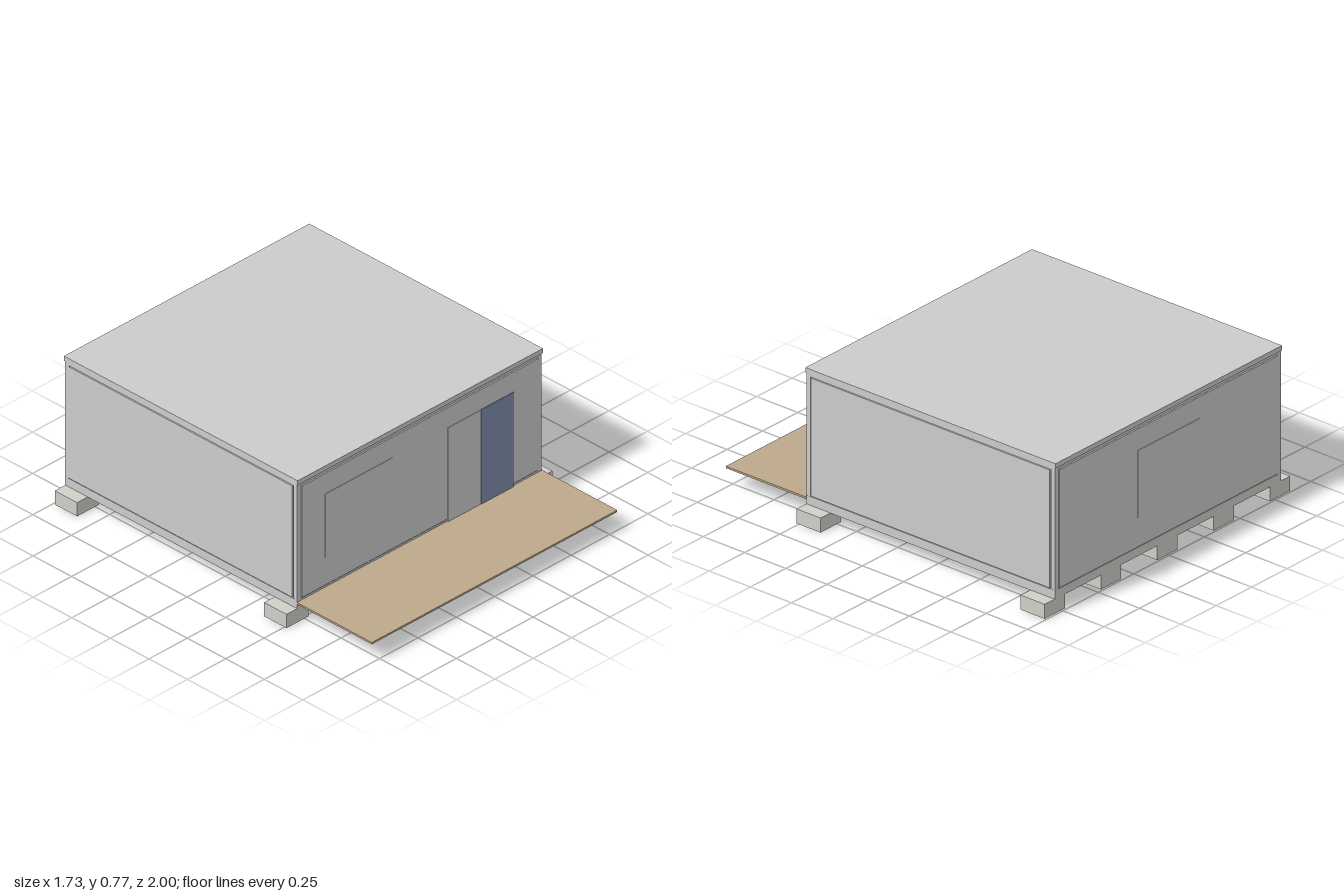
import * as THREE from 'three';

const material = (color) => new THREE.MeshStandardMaterial({ color });

export function createModel() {
  const model = new THREE.Group();
  model.name = 'modularCabin';
  const grey = material(0xcccccc);
  const concrete = material(0xd0cfc8);
  const timber = material(0xbda88b);
  const glass = material(0x7f8cab);

  // Box given by its lower and upper limits on each axis
  function box(name, [x0, x1], [y0, y1], [z0, z1], mat = grey) {
    const mesh = new THREE.Mesh(new THREE.BoxGeometry(x1 - x0, y1 - y0, z1 - z0), mat);
    mesh.position.set((x0 + x1) / 2, (y0 + y1) / 2, (z0 + z1) / 2);
    mesh.name = name;
    model.add(mesh);
    return mesh;
  }

  const front = 0.513, back = -0.993, side = 0.797;

  // Foundation blocks under the front and back edges
  for (const x of [-0.795, -0.398, 0, 0.398, 0.795]) {
    box('frontFooting', [x - 0.072, x + 0.072], [0, 0.075], [0.368, 0.513], concrete);
    box('backFooting', [x - 0.072, x + 0.072], [0, 0.075], [-0.99, -0.845], concrete);
  }

  // Floor slab in two halves and the roof slab
  box('floorLeft', [0, side], [0.075, 0.11], [back, front], concrete);
  box('floorRight', [-side, 0], [0.075, 0.11], [back, front], concrete);
  box('roof', [-0.8, 0.8], [0.75, 0.775], [-0.998, 0.518]);

  // Corner posts, with sills and head beams between them
  for (const s of [-1, 1]) {
    const span = (a, b) => (s > 0 ? [a, b] : [-b, -a]);
    box('frontPost', span(0.772, side), [0.075, 0.75], [front - 0.025, front]);
    box('backPost', span(0.772, side), [0.075, 0.75], [back, back + 0.025]);
    box('sideSill', span(0.77, side + 0.001), [0.074, 0.12], [back, front]);
    box('sideHead', span(0.77, side), [0.735, 0.75], [back, front]);
    // Side cladding standing slightly proud of a recessed backing
    box('sideBacking', span(0.765, 0.792), [0.11, 0.75], [back + 0.01, front - 0.01]);
    box('sidePanel', span(0.785, 0.801), [0.125, 0.732], [back + 0.03, front - 0.03]);
  }
  for (const [name, z, s] of [['front', front, 1], ['back', back, -1]]) {
    const depth = (a, b) => (s > 0 ? [z + a, z + b] : [z - b, z - a]);
    box(name + 'Sill', [-0.772, 0.772], [0.075, 0.12], depth(-0.025, 0));
    box(name + 'Head', [-0.772, 0.772], [0.735, 0.75], depth(-0.025, 0));
    box(name + 'Backing', [-0.78, 0.78], [0.11, 0.75], depth(-0.03, -0.006));
    box(name + 'Panel', [-0.77, 0.77], [0.125, 0.732], depth(-0.01, 0.004));
  }

  // Thin flush windows, and the sliding door with its glazed leaf
  box('frontWindow', [-0.62, -0.18], [0.275, 0.622], [0.51, 0.519]);
  box('backWindow', [-0.22, 0.22], [0.275, 0.622], [-1, -0.99]);
  box('doorPanel', [0.18, 0.612], [0.11, 0.622], [0.51, 0.519]);
  box('doorGlass', [0.395, 0.61], [0.11, 0.624], [0.51, 0.521], glass);

  // Terrace deck
  box('deck', [-0.8, 0.8], [0.1, 0.11], [0.513, 1], timber);
  return model;
}
